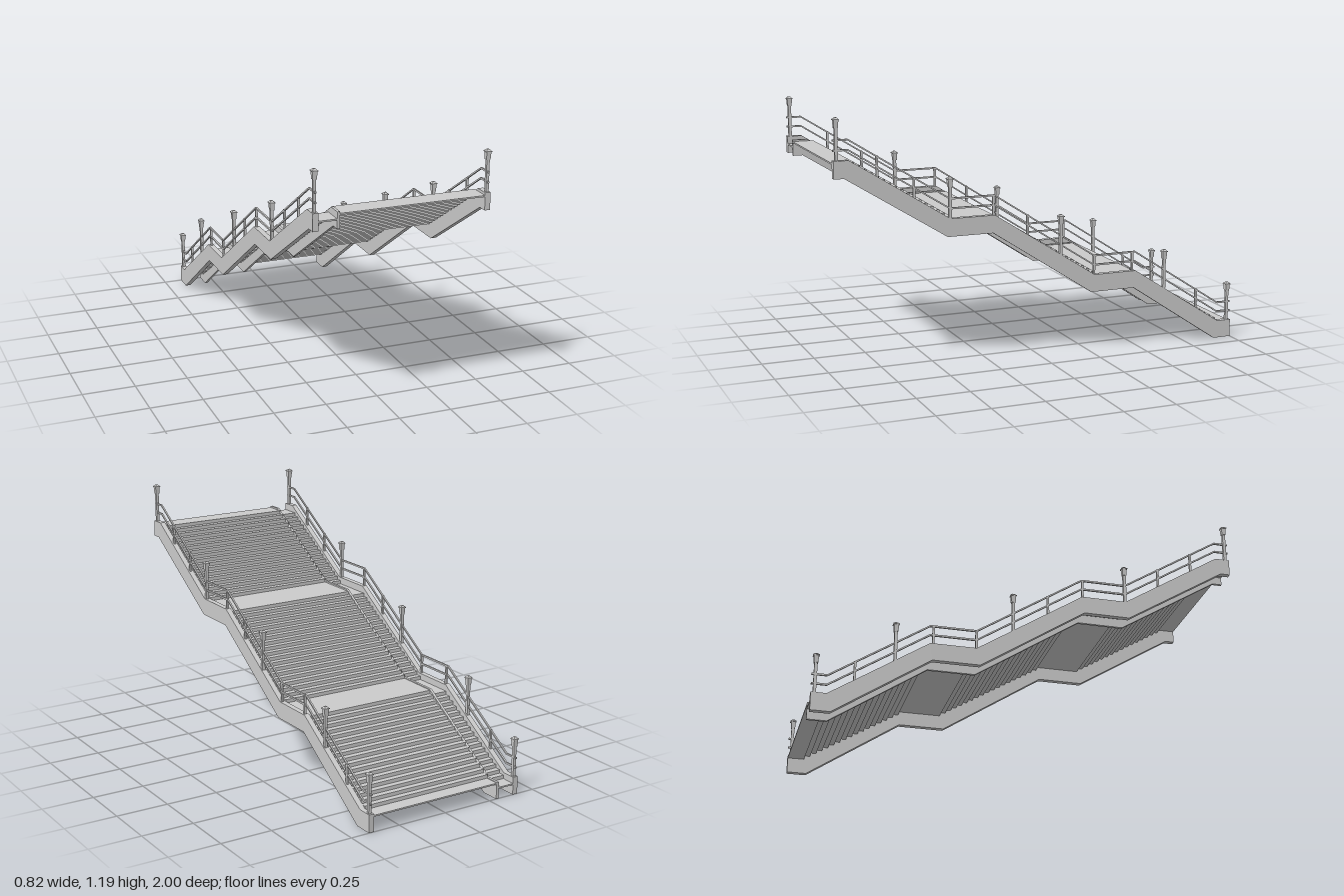
import * as THREE from 'three';

const material = new THREE.MeshStandardMaterial({ color: 0xcccccc, flatShading: true });

// Upper edge of the stringers as [z, y], from the low back to the high front
const TOP = [[-1, 0.085], [-0.93, 0.085], [-0.475, 0.38], [-0.26, 0.38],
  [0.245, 0.705], [0.46, 0.705], [0.93, 1], [1, 1]];
// Lower edge of the stringers
const BOTTOM = [[-1, 0], [-0.91, 0], [-0.465, 0.297], [-0.243, 0.297],
  [0.255, 0.622], [0.475, 0.622], [0.953, 0.92], [1, 0.92]];

function add(group, name, geometry, x = 0, y = 0, z = 0) {
  const mesh = new THREE.Mesh(geometry, material);
  mesh.name = name;
  mesh.position.set(x, y, z);
  group.add(mesh);
  return mesh;
}

// Extrudes a closed [z, y] outline between two x positions
function slab(points, x0, x1) {
  const shape = new THREE.Shape(points.map(([z, y]) => new THREE.Vector2(z, y)));
  const geometry = new THREE.ExtrudeGeometry(shape, { depth: x1 - x0, bevelEnabled: false });
  return geometry.rotateY(-Math.PI / 2).translate(x1, 0, 0);
}

// Height of the stringer's upper edge at z
function topAt(z) {
  const i = Math.max(1, TOP.findIndex((p) => p[0] >= z));
  const [a, b] = [TOP[i - 1], TOP[i]];
  return a[1] + (b[1] - a[1]) * (z - a[0]) / (b[0] - a[0]);
}

// Folded sheet of steps and landings, stepped above and below
function stairOutline(levels, thickness) {
  const flights = [[-0.93, -0.48, 17], [-0.27, 0.23, 19], [0.45, 0.9, 17]];
  const upper = [[-1, levels[0]]];
  flights.forEach(([z0, z1, count], f) => {
    const rise = (levels[f + 1] - levels[f]) / count;
    const run = (z1 - z0) / (count - 1);
    for (let i = 0; i < count; i++) {
      const z = z0 + run * i, y = levels[f] + rise * i;
      upper.push([z, y], [z, y + rise]);
    }
  });
  upper.push([1, levels[3]]);
  const lower = upper.map(([z, y], i) => [
    i === 0 || i === upper.length - 1 ? z : z + thickness, y - thickness]);
  return [...upper, ...lower.reverse()];
}

// Handrail bar made of straight square segments that follow the stringer
function rail(group, name, x, lift) {
  const size = 0.008;
  const bar = TOP.map(([z, y]) => [z, y + lift + size / 2]);
  const under = TOP.map(([z, y]) => [z, y + lift - size / 2]).reverse();
  add(group, name, slab([...bar, ...under], x - size / 2, x + size / 2));
}

// Square post with a lantern and a pointed cap
function lampPost(x, z) {
  const lamp = new THREE.Group();
  lamp.name = 'lampPost';
  add(lamp, 'lampPole', new THREE.BoxGeometry(0.014, 0.16, 0.014), 0, 0.07, 0);
  const lantern = new THREE.CylinderGeometry(0.016, 0.013, 0.034, 4).rotateY(Math.PI / 4);
  add(lamp, 'lantern', lantern, 0, 0.161, 0);
  add(lamp, 'lanternRim', new THREE.BoxGeometry(0.028, 0.004, 0.028), 0, 0.18, 0);
  const cap = new THREE.CylinderGeometry(0.007, 0.018, 0.008, 4).rotateY(Math.PI / 4);
  add(lamp, 'lanternCap', cap, 0, 0.186, 0);
  lamp.position.set(x, topAt(z), z);
  return lamp;
}

export function createModel() {
  const model = new THREE.Group();
  model.name = 'footbridgeStairs';

  // Stringers: two outer ones and a thin divider
  const outline = [...TOP, ...[...BOTTOM].reverse()];
  add(model, 'leftStringer', slab(outline, 0.384, 0.41));
  add(model, 'rightStringer', slab(outline, -0.41, -0.384));
  const divider = [...TOP.map(([z, y]) => [z, y - 0.004]), ...[...BOTTOM].reverse()];
  add(model, 'dividerStringer', slab(divider, -0.301, -0.288));

  // Wide stair and the slightly lower narrow stair beside it
  add(model, 'mainStair', slab(stairOutline([0.078, 0.372, 0.694, 0.988], 0.007), -0.289, 0.385));
  add(model, 'narrowStair', slab(stairOutline([0.055, 0.349, 0.671, 0.965], 0.007), -0.385, -0.3));

  // Railings with lamp posts on both sides
  for (const side of [1, -1]) {
    const railing = new THREE.Group();
    railing.name = side > 0 ? 'leftRailing' : 'rightRailing';
    const x = side * 0.398;
    rail(railing, 'topRail', x, 0.09);
    rail(railing, 'middleRail', x, 0.045);
    for (const z of [0.8, 0.63, 0.25, 0.08, -0.26, -0.46, -0.81]) {
      add(railing, 'railPost', new THREE.BoxGeometry(0.01, 0.1, 0.01), x, topAt(z) + 0.043, z);
    }
    for (const z of [0.984, 0.46, -0.087, -0.632, -0.983]) railing.add(lampPost(x, z));
    model.add(railing);
  }
  return model;
}
